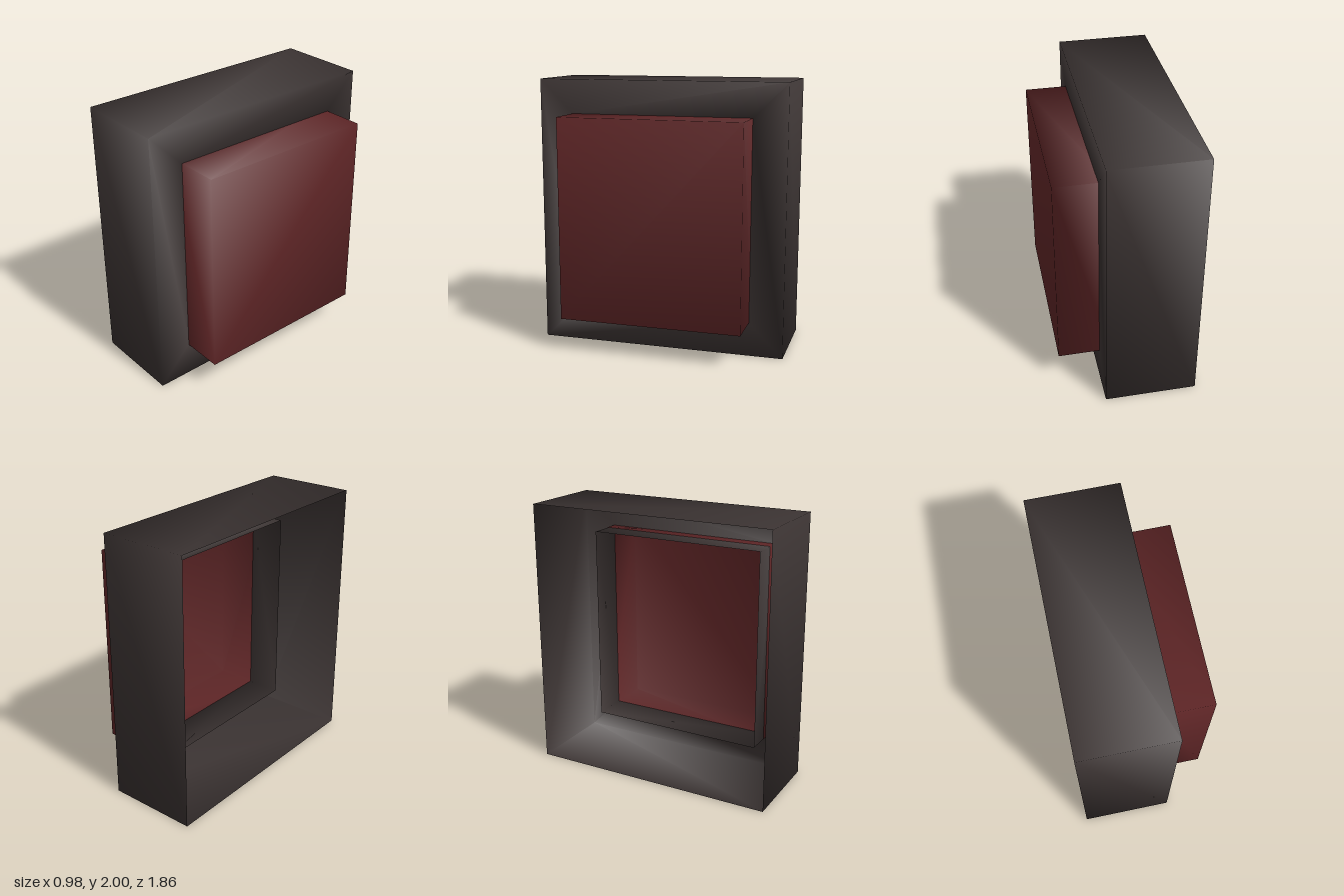
import * as THREE from 'three';

// Sweeps a rectangle along x. Each ring is [x, halfHeight, halfDepth], centred on y = 1.
// Rings share corners, so shading runs smoothly round the edges.
function rectShell(rings, capped) {
  const pos = [], index = [];
  for (const [x, h, d] of rings) {
    pos.push(x, 1 - h, d, x, 1 - h, -d, x, 1 + h, -d, x, 1 + h, d);
  }
  for (let i = 0; i < rings.length - 1; i++) {
    for (let j = 0; j < 4; j++) {
      const k = (j + 1) % 4;
      const a = i * 4 + j, b = i * 4 + k, c = b + 4, e = a + 4;
      index.push(a, b, c, a, c, e);
    }
  }
  if (capped) {
    const s = (rings.length - 1) * 4;
    index.push(s, s + 1, s + 2, s, s + 2, s + 3);
  }
  const geo = new THREE.BufferGeometry();
  geo.setAttribute('position', new THREE.Float32BufferAttribute(pos, 3));
  geo.setIndex(index);
  geo.computeVertexNormals();
  return geo;
}

export function createModel() {
  const group = new THREE.Group();
  const charcoal = new THREE.MeshStandardMaterial({ name: 'charcoal', color: 0x3c3433, side: THREE.DoubleSide });
  const darkRed = new THREE.MeshStandardMaterial({ name: 'darkRed', color: 0x602627, side: THREE.DoubleSide });

  // Housing: outer walls, front frame, then a collar folded back into the hollow
  const housing = new THREE.Mesh(rectShell([
    [-0.49, 1, 0.93],
    [0.185, 1, 0.93],
    [0.185, 0.745, 0.675],
    [-0.08, 0.745, 0.675],
  ], false), charcoal);
  housing.name = 'housing';

  // Button cap: closed at the face, open behind, just lapping the collar
  const cap = new THREE.Mesh(rectShell([
    [0.09, 0.747, 0.677],
    [0.49, 0.747, 0.677],
  ], true), darkRed);
  cap.name = 'buttonCap';

  group.add(housing, cap);
  return group;
}
